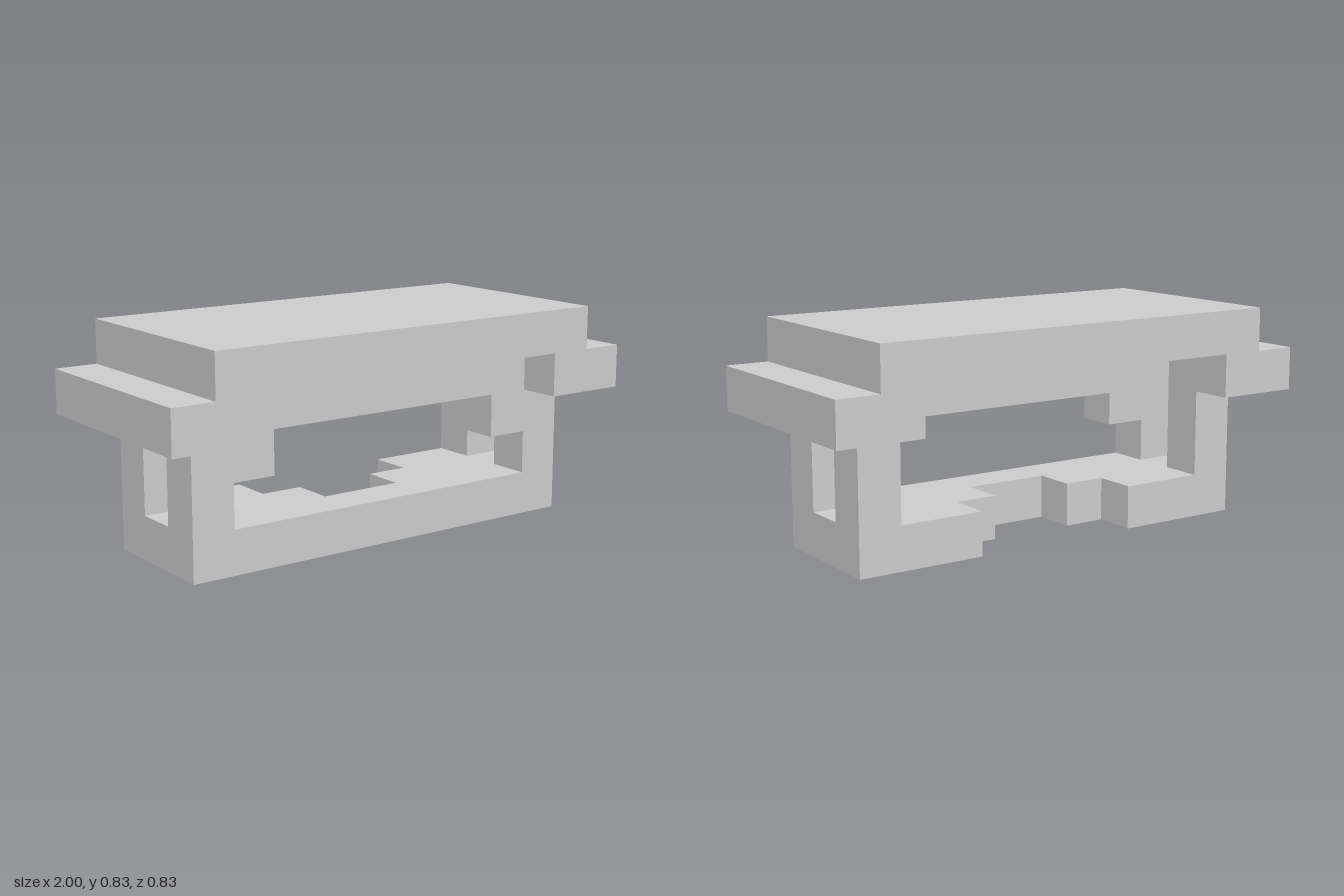
import * as THREE from 'three';

const U = 1 / 6; // one grid cell of the interlocking block design

export function createModel() {
  const group = new THREE.Group();
  const material = new THREE.MeshStandardMaterial({ color: 0xcccccc, flatShading: true });

  const add = (name, geometry) => {
    const mesh = new THREE.Mesh(geometry, material);
    mesh.name = name;
    group.add(mesh);
  };

  // Extrudes a half outline, mirrored across x = 0, between two depths
  const mirroredExtrude = (half, z0, z1) => {
    const mirrored = half.map(([x, y]) => [-x, y]).reverse();
    const points = [...half, ...mirrored].map(([x, y]) => new THREE.Vector2(x * U, y * U));
    const geometry = new THREE.ExtrudeGeometry(new THREE.Shape(points), {
      depth: (z1 - z0) * U, bevelEnabled: false,
    });
    return geometry.translate(0, 0, z0 * U);
  };

  const box = (x0, x1, y0, y1, z0, z1) =>
    new THREE.BoxGeometry((x1 - x0) * U, (y1 - y0) * U, (z1 - z0) * U)
      .translate((x0 + x1) / 2 * U, (y0 + y1) / 2 * U, (z0 + z1) / 2 * U);

  // Cover with stepped ends and a wide channel underneath
  add('cover', mirroredExtrude([[4, 4], [4, 3], [6, 3], [6, 4], [5, 4], [5, 5]], -2.5, 2.5));

  // Beam filling part of the channel, open at front and back
  add('channelBeam', box(-4, 4, 3, 4, -0.5, 1.5));

  // Base plate with a stepped notch cut into its back edge
  const base = mirroredExtrude(
    [[5, -1.5], [5, 1.5], [2, 1.5], [2, 0.5], [1, 0.5], [1, -0.5]], 0, 1);
  add('base', base.rotateX(-Math.PI / 2));

  // Posts at the four corners; the front pair carries inward shoulders
  for (const side of [-1, 1]) {
    const sideName = side > 0 ? 'left' : 'right';
    const span = (a, b) => (side > 0 ? [a, b] : [-b, -a]);
    add(sideName + 'FrontPost', box(...span(4, 5), 1, 3, 0.5, 1.5));
    add(sideName + 'BackPost', box(...span(4, 5), 1, 3, -1.5, -0.5));
    add(sideName + 'Shoulder', box(...span(3, 4), 2, 3, 0.5, 1.5));
  }

  return group;
}
